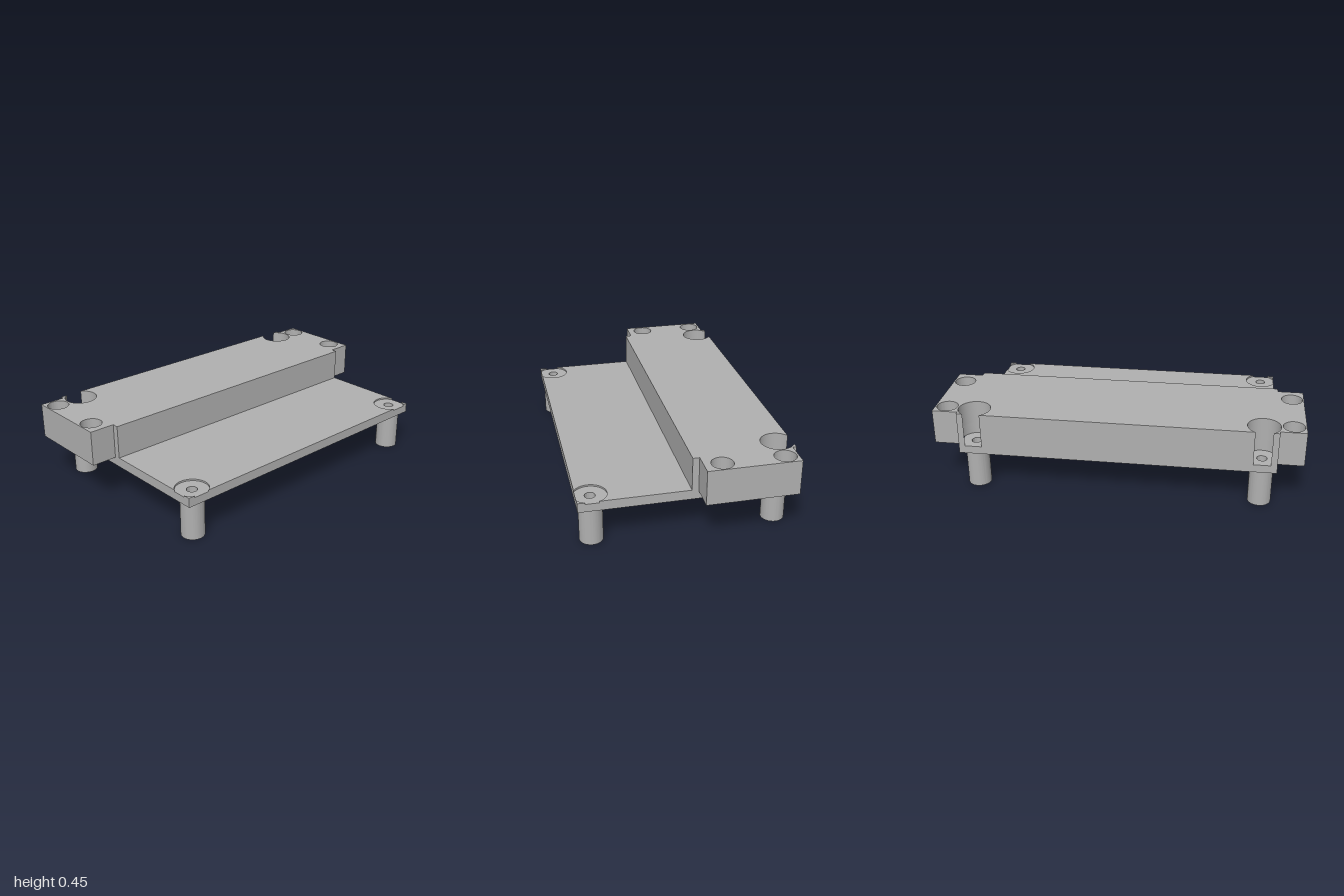
import * as THREE from 'three';
import { toCreasedNormals } from 'three/addons/utils/BufferGeometryUtils.js';

const PLATE_W = 0.86, DEPTH = 0.565, STEP = 0.02;
const BOTTOM = 0.213, FLOOR = 0.257, DECK = 0.266, BORE = 0.32, TOP = 0.45;
const PX = 0.78, PZ = 0.49, WELL_R = 0.088, SCREW_R = 0.028;

export function createModel() {
  const grey = new THREE.MeshStandardMaterial({ color: 0xb0b0b0 });
  grey.name = 'grey';
  const model = new THREE.Group();
  model.name = 'mountingBracket';

  // Shapes are drawn in plan: shape x = x, shape y = -z
  const V = (x, y) => new THREE.Vector2(x, y);
  const circle = (x, y, r) => new THREE.Path().absarc(x, y, r, 0, Math.PI * 2, false);
  const arc = (cx, cy, r, a, b) => Array.from({ length: 33 }, (_, i) => {
    const t = a + (b - a) * i / 32;
    return V(cx + r * Math.cos(t), cy + r * Math.sin(t));
  });
  const flip = pts => pts.map(p => V(-p.x, p.y)).reverse();
  const symmetric = half => new THREE.Shape([...half, ...flip(half)]);

  function slab(name, shape, y0, y1, holes = []) {
    shape.holes.push(...holes);
    let geo = new THREE.ExtrudeGeometry(shape, { depth: y1 - y0, bevelEnabled: false, curveSegments: 40 });
    geo.rotateX(-Math.PI / 2).translate(0, y0, 0);
    geo = toCreasedNormals(geo, 0.5);
    const mesh = new THREE.Mesh(geo, grey);
    mesh.name = name;
    model.add(mesh);
  }

  // Angles where a well circle meets the end and side edges of the plate
  const endAngle = Math.asin((DEPTH - PZ) / WELL_R);
  const sideAngle = Math.acos((PLATE_W - PX) / WELL_R);

  // Base plate with four screw holes
  const corners = [[PX, PZ], [-PX, PZ], [PX, -PZ], [-PX, -PZ]];
  slab('basePlate', symmetric([V(PLATE_W, -DEPTH), V(PLATE_W, DEPTH)]), BOTTOM, FLOOR,
    corners.map(([x, y]) => circle(x, y, SCREW_R)));

  // Thin deck in front, recessed around the two front screws
  slab('frontDeck', symmetric([
    ...arc(PX, -PZ, WELL_R, Math.PI + endAngle, sideAngle),
    V(PLATE_W, STEP),
  ]), FLOOR, DECK);

  // Small corner chips left outside the front recesses
  const chip = [V(PLATE_W, -DEPTH), ...arc(PX, -PZ, WELL_R, -endAngle, -sideAngle)];
  slab('leftCornerChip', new THREE.Shape(chip), FLOOR, DECK);
  slab('rightCornerChip', new THREE.Shape(flip(chip)), FLOOR, DECK);

  // Raised block with side ears and open wells at the back
  const blockHalf = [
    V(PLATE_W, STEP), V(PLATE_W, 0.055), V(1, 0.055), V(1, 0.545),
    V(PLATE_W, 0.545), V(PLATE_W, DEPTH),
    ...arc(PX, PZ, WELL_R, endAngle, -Math.PI - endAngle),
  ];
  const earHoles = r => [-1, 1].flatMap(s => [0.15, 0.477].map(y => circle(s * 0.935, y, r)));
  slab('blockLower', symmetric(blockHalf), FLOOR, BORE, earHoles(0.034));
  slab('blockUpper', symmetric(blockHalf), BORE, TOP, earHoles(0.058));

  // Hollow standoff legs
  corners.forEach(([x, y]) => {
    const ring = new THREE.Shape().absarc(x, y, 0.063, 0, Math.PI * 2, false);
    slab((y < 0 ? 'front' : 'back') + (x > 0 ? 'Left' : 'Right') + 'Leg', ring, 0, BOTTOM,
      [circle(x, y, SCREW_R)]);
  });

  return model;
}
